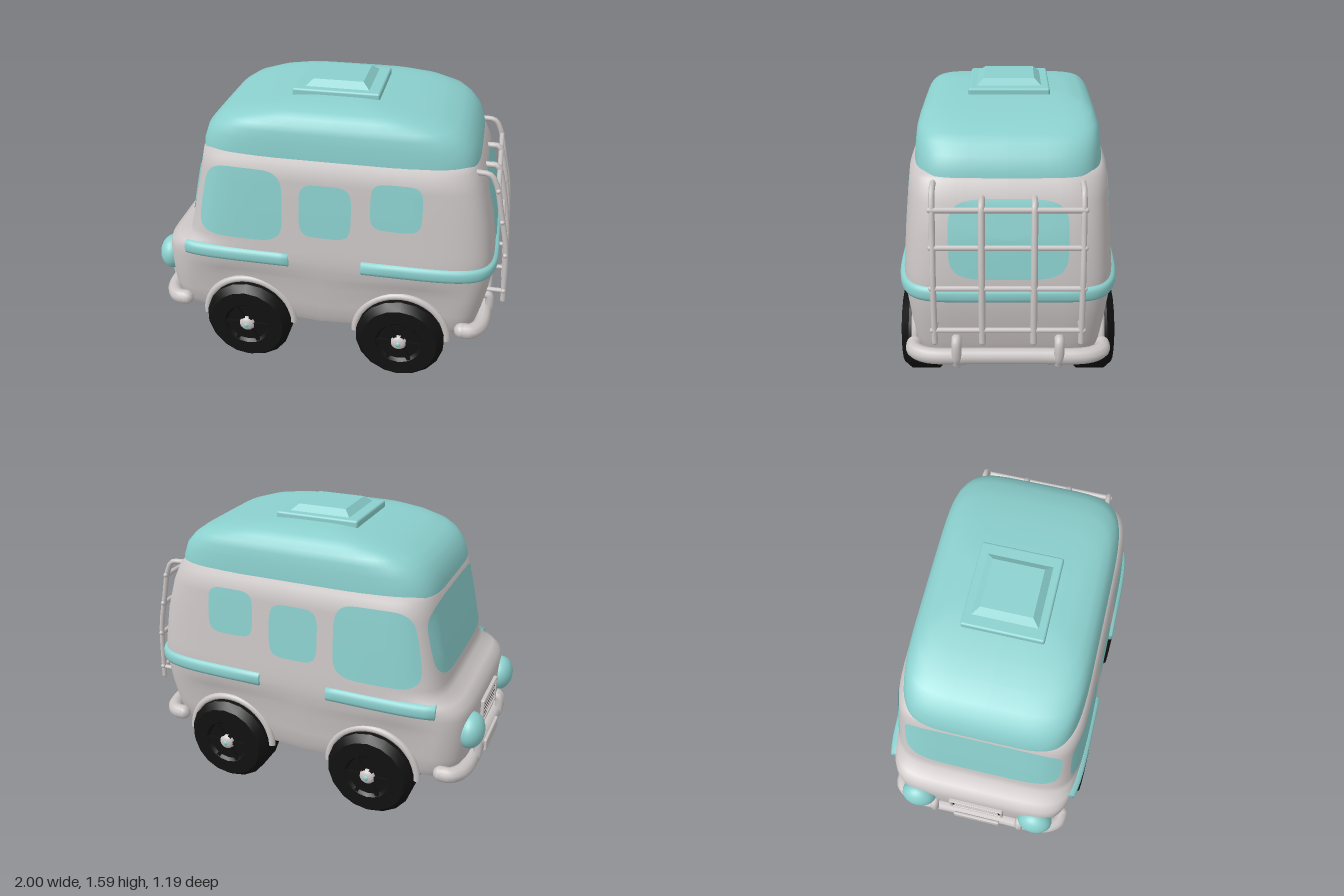
import * as THREE from 'three';
import { toCreasedNormals } from 'three/addons/utils/BufferGeometryUtils.js';
import { RoundedBoxGeometry } from 'three/addons/geometries/RoundedBoxGeometry.js';

const V = (x, y, z) => new THREE.Vector3(x, y, z);
const mat = (name, color, side = THREE.FrontSide) => {
  const m = new THREE.MeshStandardMaterial({ color, side });
  m.name = name;
  return m;
};

// Horizontal sections: [height, front x, rear x, half width]
const BODY = [
  [0.27, -0.87, 0.83, 0.49], [0.32, -0.905, 0.855, 0.51], [0.4, -0.925, 0.875, 0.52],
  [0.52, -0.93, 0.9, 0.532], [0.58, -0.93, 0.908, 0.536], [0.64, -0.928, 0.915, 0.54],
  [0.69, -0.915, 0.915, 0.542], [0.72, -0.87, 0.915, 0.541], [0.745, -0.80, 0.913, 0.54],
  [0.79, -0.782, 0.91, 0.536], [0.98, -0.745, 0.882, 0.522], [1.15, -0.708, 0.835, 0.508],
  [1.25, -0.687, 0.79, 0.498], [1.275, -0.66, 0.765, 0.475]
];
const ROOF = [
  [1.262, -0.70, 0.795, 0.478], [1.29, -0.695, 0.79, 0.478], [1.36, -0.67, 0.765, 0.472],
  [1.41, -0.625, 0.72, 0.467], [1.445, -0.57, 0.67, 0.457], [1.48, -0.46, 0.56, 0.432],
  [1.505, -0.34, 0.42, 0.39], [1.522, -0.2, 0.26, 0.3], [1.532, -0.1, 0.15, 0.18]
];
const N = 7; // squareness of the body sections

function section(y) {
  let i = 0;
  while (i < BODY.length - 2 && BODY[i + 1][0] < y) i++;
  const k = (y - BODY[i][0]) / (BODY[i + 1][0] - BODY[i][0]);
  return BODY[i].map((v, j) => v + (BODY[i + 1][j] - v) * k);
}
const spow = (v, p) => Math.sign(v) * Math.abs(v) ** p;
const ringPoint = ([y, x0, x1, hz], t, n) => V(
  (x0 + x1) / 2 + (x1 - x0) / 2 * spow(Math.cos(t), 2 / n), y, hz * spow(Math.sin(t), 2 / n));
const edge = u => Math.max(0, 1 - Math.abs(u) ** N) ** (1 / N);
function sideZ(x, y) {
  const [, x0, x1, hz] = section(y);
  return hz * edge((x - (x0 + x1) / 2) / ((x1 - x0) / 2));
}
function endX(z, y, dir) {
  const [, x0, x1, hz] = section(y);
  return (x0 + x1) / 2 + dir * (x1 - x0) / 2 * edge(z / hz);
}

// Surface through rows of points
function grid(rows, wrap) {
  const cols = rows[0].length, pos = rows.flat().flatMap(p => [p.x, p.y, p.z]), idx = [];
  for (let i = 0; i < rows.length - 1; i++) for (let j = 0; j < (wrap ? cols : cols - 1); j++) {
    const a = i * cols + j, b = i * cols + (j + 1) % cols, c = a + cols, d = b + cols;
    idx.push(a, c, b, b, c, d);
  }
  const g = new THREE.BufferGeometry();
  g.setAttribute('position', new THREE.Float32BufferAttribute(pos, 3));
  g.setIndex(idx);
  g.computeVertexNormals();
  return g;
}

function loft(sections, n, bend = p => p) {
  const rows = sections.map(s => Array.from({ length: 72 }, (_, j) => bend(ringPoint(s, j / 72 * Math.PI * 2, n))));
  const cap = s => rows[0].map(() => V((s[1] + s[2]) / 2, s[0], 0));
  return toCreasedNormals(grid([cap(sections[0]), ...rows, cap(sections.at(-1))], true), 0.9);
}

// Window pane laid on the body; place(u, y) gives the surface point
function pane(u0, u1, y0, y1, place, slant = 0) {
  const rows = [];
  for (let r = 0; r <= 8; r++) rows.push(Array.from({ length: 48 }, (_, j) => {
    const t = j / 48 * Math.PI * 2, k = r / 8;
    const a = spow(Math.cos(t), 0.45) * k, b = spow(Math.sin(t), 0.45) * k;
    const u = (u0 + u1) / 2 + a * (u1 - u0) / 2 + slant * b * (1 - a) / 2;
    return place(u, (y0 + y1) / 2 + b * (y1 - y0) / 2);
  }));
  return grid(rows, true);
}

export function createModel() {
  const van = new THREE.Group();
  van.name = 'camperVan';
  const paint = mat('warmGrey', 0xcbc5c5);
  const teal = mat('teal', 0x8bd0ce);
  const glass = mat('tealPanel', 0x8bd0ce, THREE.DoubleSide);
  const black = mat('black', 0x111111);
  const add = (name, geo, m, x = 0, y = 0, z = 0, parent = van) => {
    const mesh = new THREE.Mesh(geo, m);
    mesh.name = name;
    mesh.position.set(x, y, z);
    parent.add(mesh);
    return mesh;
  };
  const tube = (name, pts, r, m = paint) => {
    const path = new THREE.CatmullRomCurve3(pts, false, 'centripetal');
    add(name, new THREE.TubeGeometry(path, pts.length * 6, r, 10), m);
    for (const p of [pts[0], pts.at(-1)]) add(name + 'End', new THREE.SphereGeometry(r, 10, 8), m, p.x, p.y, p.z);
  };

  // Body, tucked in a little above the wheels
  const tuck = p => {
    const d = Math.min(Math.abs(p.x + 0.43), Math.abs(p.x - 0.44));
    if (p.y < 0.64) p.z *= 1 - 0.07 * Math.max(0, 1 - (d / 0.36) ** 2) * Math.min(1, (0.64 - p.y) / 0.12);
    return p;
  };
  add('body', loft(BODY, N, tuck), paint);
  add('roof', loft(ROOF, 5.5), teal);

  // Roof hatch
  add('hatchFrame', new RoundedBoxGeometry(0.47, 0.045, 0.43, 2, 0.012), teal, 0.015, 1.533, -0.005);
  const lid = new THREE.CylinderGeometry(0.19, 0.247, 0.035, 4, 1).rotateY(Math.PI / 4).toNonIndexed();
  lid.computeVertexNormals();
  add('hatchLid', lid, teal, 0.015, 1.57, -0.005);

  // Windows
  for (const s of [1, -1]) {
    const onSide = (x, y) => V(x, y, s * (sideZ(x, y) + 0.005));
    add('cabWindow', pane(-0.665, -0.21, 0.8, 1.21, onSide, 0.04), glass);
    add('middleWindow', pane(-0.12, 0.16, 0.85, 1.15, onSide), glass);
    add('rearSideWindow', pane(0.26, 0.53, 0.93, 1.19, onSide), glass);
  }
  add('windscreen', pane(-0.43, 0.43, 0.83, 1.22, (z, y) => V(endX(z, y, -1) - 0.005, y, z)), glass);
  add('backWindow', pane(-0.295, 0.29, 0.78, 1.17, (z, y) => V(endX(z, y, 1) + 0.005, y, z)), glass);

  // Raised belt strips: a cab strip on each side, one strip round the back
  const PROFILE = [[0.655, -0.01], [0.662, 0.014], [0.68, 0.022], [0.71, 0.022], [0.728, 0.014], [0.735, -0.01]];
  const belt = (name, pts) => {
    const rows = pts.map((p, i) => {
      const a = pts[Math.max(0, i - 1)], b = pts[Math.min(pts.length - 1, i + 1)];
      const n = V(b.z - a.z, 0, a.x - b.x).normalize();
      if (n.x * (p.x - 0.1) * 0.3 + n.z * p.z < 0) n.negate();
      return PROFILE.map(([y, o]) => V(p.x + n.x * o, y, p.z + n.z * o));
    });
    const close = row => row.map(p => V(p.x, p.y, p.z * 0.95));
    add(name, grid([close(rows[0]), ...rows, close(rows.at(-1))]), glass);
  };
  for (const s of [1, -1]) belt('cabBelt', Array.from({ length: 13 }, (_, i) => {
    const x = -0.77 + i / 12 * 0.59;
    return V(x, 0, s * sideZ(x, 0.69));
  }));
  belt('rearBelt', Array.from({ length: 61 }, (_, i) => ringPoint(section(0.69), (i / 30 - 1) * 1.564, N)));

  // Wheels, arches and axles
  const tyre = new THREE.LatheGeometry([[0, -0.11], [0.215, -0.11], [0.247, -0.085], [0.247, 0.07], [0.212, 0.112],
    [0.13, 0.112], [0.115, 0.095], [0, 0.095]].map(p => new THREE.Vector2(...p)), 18).rotateX(Math.PI / 2);
  const tyreGeo = toCreasedNormals(tyre, 0.5);
  for (const x of [-0.43, 0.44]) {
    add('axle', new THREE.CylinderGeometry(0.032, 0.032, 0.8, 12).rotateX(Math.PI / 2), paint, x, 0.24, 0);
    for (const s of [1, -1]) {
      const wheel = new THREE.Group();
      wheel.name = 'wheel';
      wheel.position.set(x, 0.247, s * 0.462);
      if (s < 0) wheel.rotation.y = Math.PI;
      van.add(wheel);
      add('tyre', tyreGeo, black, 0, 0, 0, wheel);
      for (let i = 0; i < 6; i++) {
        const spoke = add('spoke', new THREE.BoxGeometry(0.13, 0.022, 0.02).translate(0.065, 0, 0), black, 0, 0, 0.1, wheel);
        spoke.rotation.z = i * Math.PI / 3;
      }
      add('hub', new THREE.SphereGeometry(0.045, 14, 10).scale(1, 1, 0.6), paint, 0, 0, 0.1, wheel);
      add('hubCap', new THREE.SphereGeometry(0.02, 10, 8), teal, 0, 0, 0.112, wheel);
      add('wheelArch', new THREE.TorusGeometry(0.258, 0.02, 8, 24, Math.PI), paint, x, 0.25, s * 0.495);
    }
  }

  // Bumpers with overriders
  for (const [name, x, dir] of [['frontBumper', -0.925, -1], ['rearBumper', 0.885, 1]]) {
    const half = [[0.11, 0.49], [0.06, 0.485], [0.02, 0.44], [0, 0.37], [0, 0.15]];
    const side = s => half.map(([d, z]) => V(x - dir * d, 0.325, s * z));
    tube(name, [...side(1), ...side(-1).reverse()], 0.042);
    for (const z of [0.26, -0.26]) tube('overrider', [V(x - dir * 0.02, 0.43, z), V(x + dir * 0.02, 0.42, z),
      V(x + dir * 0.028, 0.34, z), V(x + dir * 0.01, 0.29, z)], 0.026);
  }
  add('frontPlate', new RoundedBoxGeometry(0.02, 0.075, 0.28, 2, 0.008), paint, -0.968, 0.325, 0);

  // Headlights and grille
  for (const z of [0.345, -0.345]) {
    add('headlight', new THREE.SphereGeometry(0.1, 20, 14).scale(0.75, 1, 1), teal, -0.925, 0.54, z);
  }
  add('grilleBacking', new RoundedBoxGeometry(0.02, 0.15, 0.3, 2, 0.009), black, -0.93, 0.54, 0);
  for (const y of [0.472, 0.608]) add('grilleFrame', new RoundedBoxGeometry(0.03, 0.016, 0.31, 2, 0.006), paint, -0.934, y, 0);
  for (const z of [0.15, -0.15]) add('grilleFrame', new RoundedBoxGeometry(0.03, 0.15, 0.016, 2, 0.006), paint, -0.934, 0.54, z);
  for (let i = 0; i < 4; i++) add('grilleSlat', new THREE.BoxGeometry(0.012, 0.009, 0.26), paint, -0.938, 0.5 + i * 0.027, 0);

  // Rear ladder rack
  const rackX = y => y > 0.8 ? 0.965 - (y - 0.8) * 0.2 : 0.982 - (y - 0.47) * 0.05;
  for (const z of [0.36, -0.36]) {
    tube('outerRail', [V(0.78, 1.235, z), V(0.85, 1.225, z), V(0.885, 1.17, z),
      V(rackX(1), 1, z), V(rackX(0.8), 0.8, z), V(0.982, 0.47, z)], 0.015);
    tube('lowerMount', [V(0.87, 0.53, z), V(0.98, 0.53, z)], 0.013);
  }
  for (const z of [0.126, -0.126]) {
    tube('innerRail', [V(0.82, 1.17, z), V(0.885, 1.165, z), V(0.91, 1.1, z),
      V(rackX(0.8), 0.8, z), V(0.982, 0.47, z)], 0.017);
    tube('lowerMount', [V(0.87, 0.53, z), V(0.98, 0.53, z)], 0.013);
  }
  for (const y of [1.14, 0.96, 0.76, 0.535]) {
    tube('crossBar', [V(rackX(y), y, 0.37), V(rackX(y), y, -0.37)], 0.014);
  }
  return van;
}
